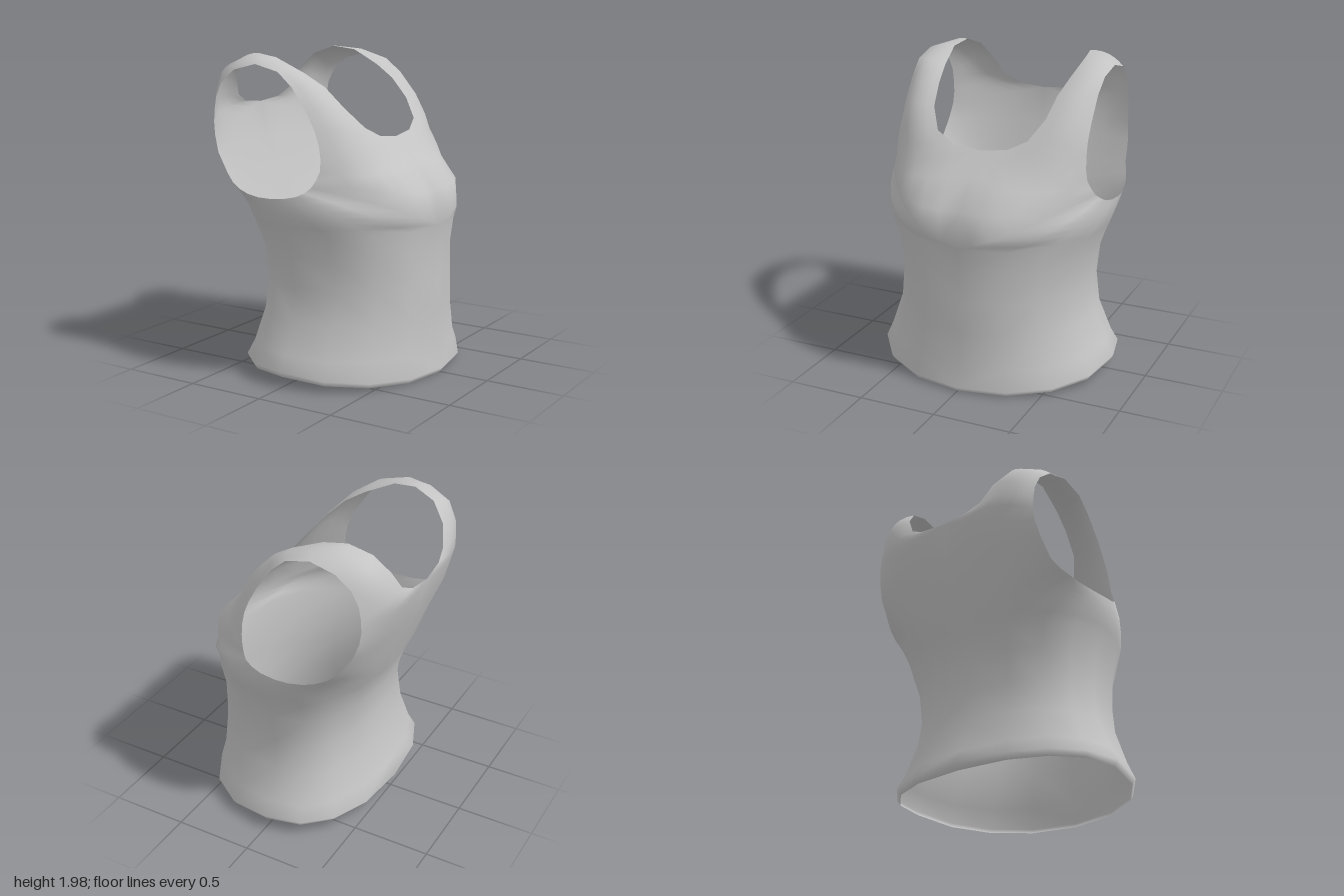
import * as THREE from 'three';
import { mergeVertices } from 'three/addons/utils/BufferGeometryUtils.js';

const HALF = 8; // steps round half of the body

// Half cross-section of the body, from the chest (+x) round the side (+z) to the back
function ring(y, back, front, side, tilt = 0) {
  const pts = [];
  for (let k = 0; k <= HALF; k++) {
    const a = (k / HALF) * Math.PI;
    const c = Math.cos(a), s = Math.max(0, Math.sin(a));
    const e = 2 / (c > 0 ? 2.1 : 2.35);
    const x = Math.sign(c) * Math.pow(Math.abs(c), e) * (c > 0 ? front : back);
    pts.push([x, y - tilt * Math.max(x, 0), k === HALF ? 0 : side * Math.pow(s, e)]);
  }
  return pts;
}

// Body sections from under the bust down to the turned-in hem
const bodyRings = [
  ring(0.95, 0.47, 0.655, 0.70),
  ring(0.80, 0.42, 0.642, 0.65),
  ring(0.60, 0.40, 0.652, 0.63),
  ring(0.40, 0.43, 0.65, 0.65),
  ring(0.20, 0.485, 0.658, 0.73, 0.04),
  ring(0.11, 0.53, 0.69, 0.78, 0.1),
  ring(0.075, 0.50, 0.67, 0.76, 0.095),
];

// Centre back, neckline over the shoulder, centre front
const neckline = [
  [-0.55, 1.18, 0], [-0.64, 1.42, 0], [-0.69, 1.64, 0],
  [-0.68, 1.66, 0.18], [-0.66, 1.71, 0.28], [-0.62, 1.83, 0.35],
  [-0.53, 1.94, 0.40], [-0.39, 1.99, 0.43], [-0.24, 1.97, 0.45],
  [-0.05, 1.88, 0.425], [0.08, 1.80, 0.40], [0.20, 1.68, 0.375],
  [0.30, 1.56, 0.30], [0.335, 1.50, 0.18], [0.345, 1.48, 0],
  [0.46, 1.35, 0], [0.61, 1.17, 0],
];

// Armhole edge, starting at its lower front
const armhole = [
  [0.17, 1.24, 0.69], [0.14, 1.21, 0.715], [0.09, 1.185, 0.73],
  [0.02, 1.17, 0.745], [-0.08, 1.16, 0.75], [-0.17, 1.16, 0.745],
  [-0.26, 1.17, 0.73], [-0.33, 1.19, 0.715], [-0.40, 1.22, 0.69],
  [-0.46, 1.27, 0.665], [-0.54, 1.39, 0.65], [-0.575, 1.49, 0.635],
  [-0.585, 1.57, 0.63], [-0.58, 1.65, 0.63], [-0.565, 1.73, 0.63],
  [-0.52, 1.82, 0.635], [-0.42, 1.90, 0.64], [-0.26, 1.94, 0.64],
  [-0.10, 1.90, 0.635], [0, 1.81, 0.63], [0.10, 1.67, 0.63],
  [0.16, 1.56, 0.63], [0.19, 1.48, 0.635], [0.205, 1.40, 0.64],
  [0.205, 1.33, 0.65], [0.19, 1.28, 0.67],
];

// Middle of the cloth between the armhole and the outer loop
const middle = [
  [0.60, 1.08, 0.33], [0.47, 1.08, 0.53], [0.31, 1.07, 0.645],
  [0.15, 1.06, 0.715], [-0.04, 1.06, 0.735], [-0.18, 1.06, 0.71],
  [-0.31, 1.07, 0.64], [-0.42, 1.08, 0.52], [-0.50, 1.10, 0.36],
  [-0.54, 1.22, 0.38], [-0.62, 1.40, 0.36], [-0.665, 1.56, 0.33],
  [-0.67, 1.63, 0.42], [-0.655, 1.69, 0.47], [-0.635, 1.79, 0.50],
  [-0.57, 1.90, 0.53], [-0.42, 1.97, 0.54], [-0.25, 1.97, 0.55],
  [-0.06, 1.91, 0.54], [0.06, 1.83, 0.53], [0.19, 1.69, 0.52],
  [0.28, 1.56, 0.49], [0.335, 1.47, 0.44], [0.40, 1.39, 0.40],
  [0.46, 1.30, 0.39], [0.575, 1.19, 0.36],
];

// Adds a grid of points and its mirror image across z = 0
function addGrid(out, rows, closed) {
  const n = rows[0].length;
  const tri = (a, b, c) => {
    out.push(...a, ...b, ...c);
    for (const p of [a, c, b]) out.push(p[0], p[1], -p[2]);
  };
  for (let i = 0; i + 1 < rows.length; i++) {
    for (let k = 0; k < (closed ? n : n - 1); k++) {
      const m = (k + 1) % n;
      tri(rows[i][k], rows[i][m], rows[i + 1][k]);
      tri(rows[i][m], rows[i + 1][m], rows[i + 1][k]);
    }
  }
}

export function createModel() {
  const group = new THREE.Group();
  group.name = 'tankTop';
  const cloth = new THREE.MeshStandardMaterial({ color: 0xc4c4c4, side: THREE.DoubleSide });
  cloth.name = 'light grey cloth';

  // Chest, back and straps: curved bands spreading out from each armhole
  const outer = [...bodyRings[0], ...neckline];
  const STEPS = 6;
  const yoke = [];
  for (let j = 0; j <= STEPS; j++) {
    const t = j / STEPS;
    const wa = (1 - t) * (1 - 2 * t), wm = 4 * t * (1 - t), wo = t * (2 * t - 1);
    yoke.push(outer.map((o, k) => o.map((v, c) => wa * armhole[k][c] + wm * middle[k][c] + wo * v)));
  }

  const positions = [];
  addGrid(positions, yoke, true);
  addGrid(positions, bodyRings, false);

  // Weld both halves into one smooth sheet
  let geometry = new THREE.BufferGeometry();
  geometry.setAttribute('position', new THREE.Float32BufferAttribute(positions, 3));
  geometry = mergeVertices(geometry, 1e-4);
  geometry.computeVertexNormals();

  const shirt = new THREE.Mesh(geometry, cloth);
  shirt.name = 'shirt';
  group.add(shirt);
  return group;
}
